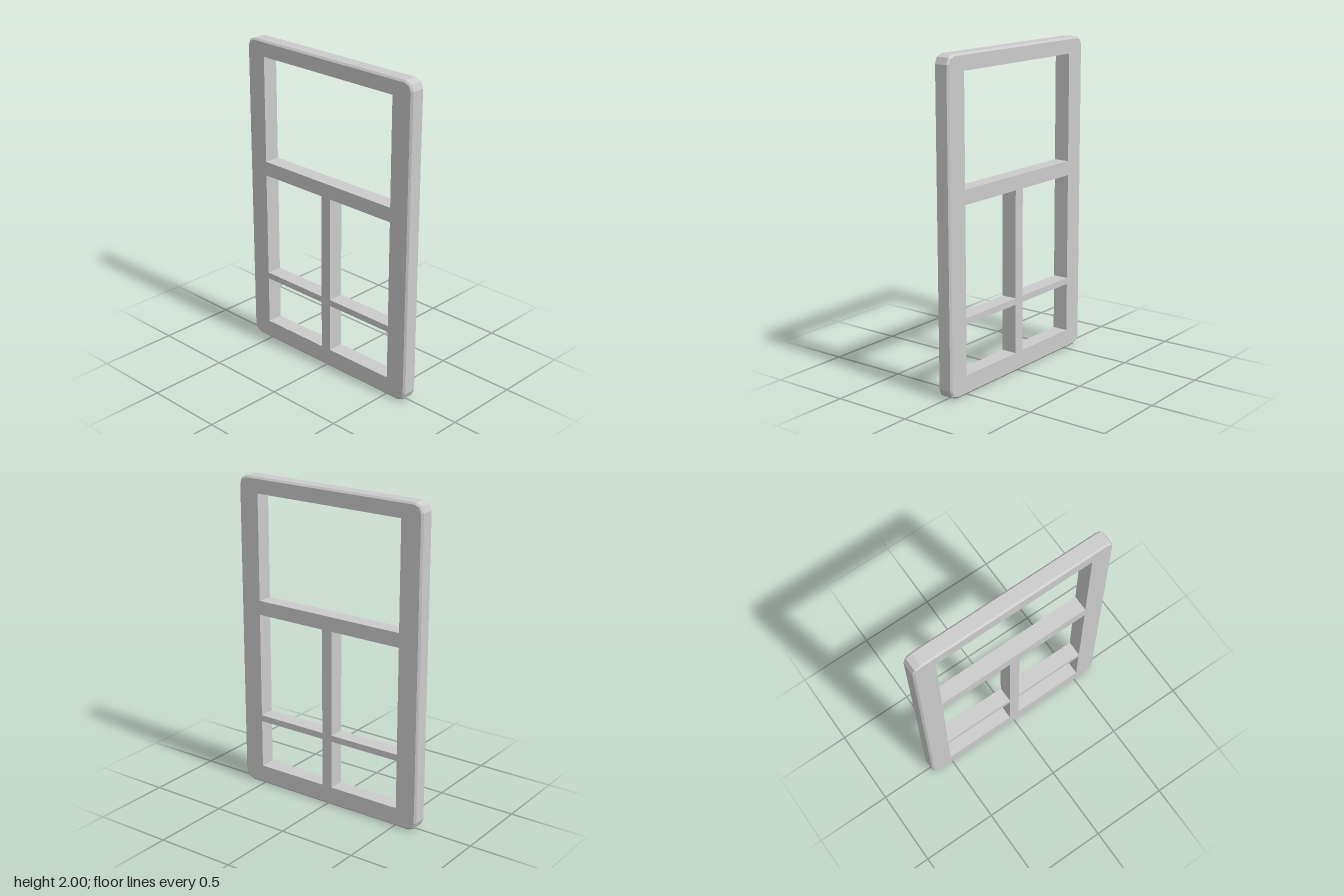
import * as THREE from 'three';
import { mergeGeometries } from 'three/addons/utils/BufferGeometryUtils.js';

const HALF_W = 0.65, HALF_T = 0.05, BEVEL = 0.012, RADIUS = 0.055;

// Rounded outline, counter-clockwise, two facets per corner
function outline(inset) {
  const points = [], r = RADIUS - inset;
  const corners = [[1, 1], [-1, 1], [-1, -1], [1, -1]];
  corners.forEach(([sx, sy], i) => {
    for (let k = 0; k <= 2; k++) {
      const a = (i + k / 2) * Math.PI / 2;
      points.push(new THREE.Vector2(
        sx * (HALF_W - RADIUS) + r * Math.cos(a),
        1 + sy * (1 - RADIUS) + r * Math.sin(a)));
    }
  });
  return points;
}

// Rectangular opening, clockwise so that its walls face inward
function opening(x0, x1, y0, y1) {
  return [[x0, y0], [x0, y1], [x1, y1], [x1, y0]].map(p => new THREE.Vector2(...p));
}

// Flat-faced wall through a stack of rings: [points, depth]
function wall(rings) {
  const pos = [];
  for (let r = 0; r < rings.length - 1; r++) {
    const [a, za] = rings[r], [b, zb] = rings[r + 1];
    for (let i = 0; i < a.length; i++) {
      const j = (i + 1) % a.length;
      const p = [a[i].x, a[i].y, za], q = [a[j].x, a[j].y, za];
      const s = [b[j].x, b[j].y, zb], t = [b[i].x, b[i].y, zb];
      pos.push(...p, ...q, ...s, ...p, ...s, ...t);
    }
  }
  const g = new THREE.BufferGeometry();
  g.setAttribute('position', new THREE.Float32BufferAttribute(pos, 3));
  g.computeVertexNormals();
  return g;
}

export function createModel() {
  const group = new THREE.Group();
  group.name = 'windowFrame';

  // One wide pane above, two tall panes, two short panes at the bottom
  const openings = [opening(-0.51, 0.51, 1.23, 1.9)];
  for (const [x0, x1] of [[-0.51, -0.035], [0.035, 0.51]]) {
    openings.push(opening(x0, x1, 0.47, 1.14), opening(x0, x1, 0.12, 0.43));
  }

  // Broad faces
  const shape = new THREE.Shape(outline(BEVEL));
  shape.holes = openings.map(points => new THREE.Path(points));
  const face = new THREE.ShapeGeometry(shape).toNonIndexed();
  face.deleteAttribute('uv');
  face.translate(0, 0, HALF_T);
  const backFace = face.clone().rotateY(Math.PI);

  // Bevelled rim and straight walls of the openings
  const rim = wall([
    [outline(BEVEL), -HALF_T], [outline(0), -HALF_T + 0.01],
    [outline(0), HALF_T - 0.01], [outline(BEVEL), HALF_T],
  ]);
  const reveals = openings.map(points => wall([[points, -HALF_T], [points, HALF_T]]));

  // Turn the panel so its broad faces look along x
  const geometry = mergeGeometries([face, backFace, rim, ...reveals]).rotateY(Math.PI / 2);
  const frame = new THREE.Mesh(geometry,
    new THREE.MeshStandardMaterial({ color: 0xcccccc, flatShading: true }));
  frame.name = 'frameWithBars';
  group.add(frame);
  return group;
}
